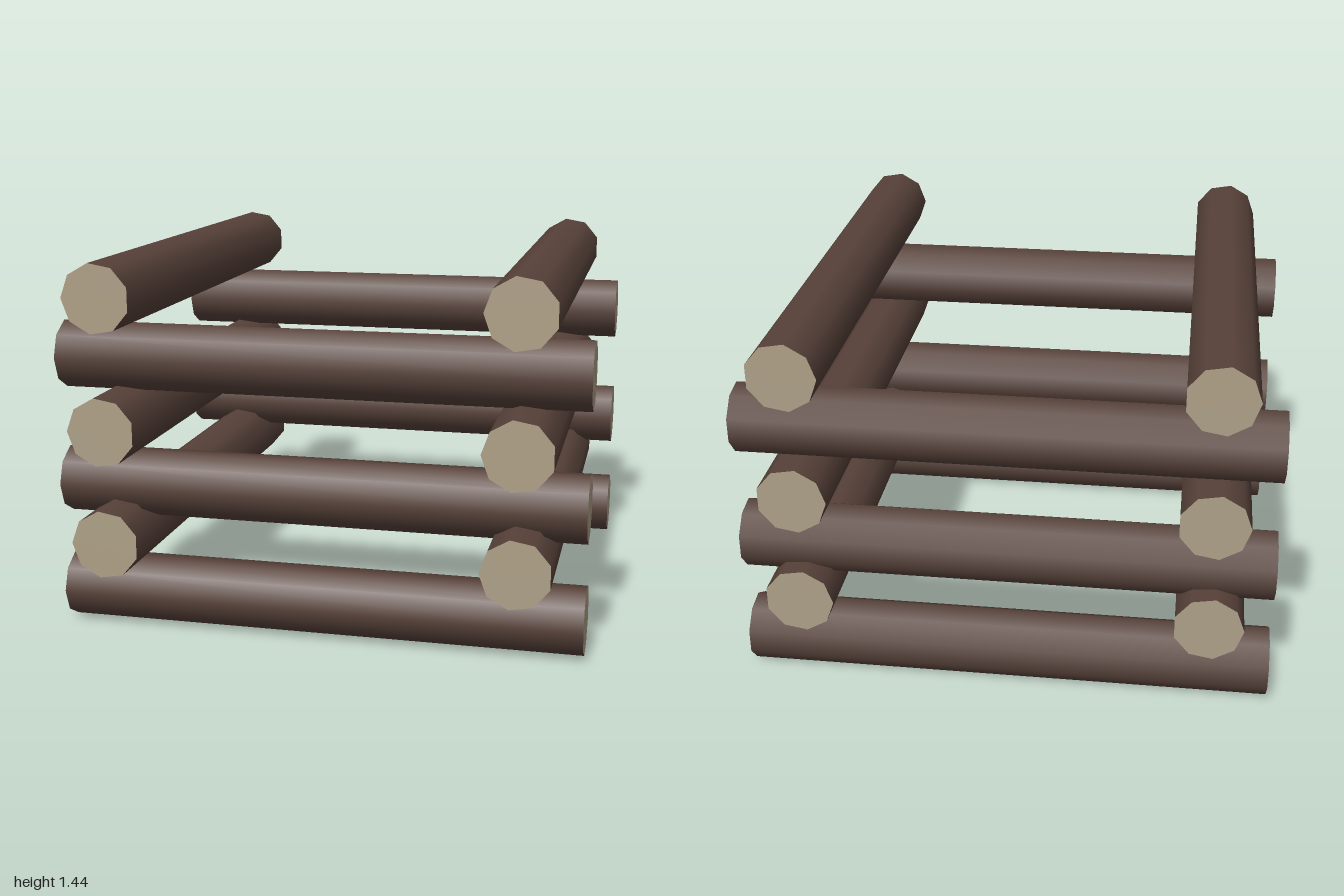
import * as THREE from 'three';

const RADIUS = 0.131;
const LENGTH = 2;
const SIDES = 9;

export function createModel() {
  const group = new THREE.Group();
  group.name = 'logStack';

  const bark = new THREE.MeshStandardMaterial({ color: 0x58423a });
  bark.name = 'bark';
  const cutWood = new THREE.MeshStandardMaterial({ color: 0xaea087 });
  cutWood.name = 'cutWood';

  // One log: bark around the side, pale cut wood on both ends
  const logGeometry = (thetaStart) =>
    new THREE.CylinderGeometry(RADIUS, RADIUS, LENGTH, SIDES, 1, false, thetaStart);
  const crossGeometry = logGeometry(0).rotateZ(Math.PI / 2);
  const depthGeometry = logGeometry(-Math.PI / 2).rotateX(Math.PI / 2);

  const addLog = (name, geometry, x, y, z) => {
    const log = new THREE.Mesh(geometry, [bark, cutWood, cutWood]);
    log.name = name;
    log.position.set(x, y, z);
    group.add(log);
  };

  // Logs running left to right, a front and a back one per layer
  [0.13, 0.561, 1.054].forEach((y, i) => {
    addLog(`frontLog${i + 1}`, crossGeometry, 0, y, 0.725);
    addLog(`backLog${i + 1}`, crossGeometry, 0, y, -0.81);
  });

  // Logs running front to back, resting on the layers between
  [0.383, 0.813, 1.307].forEach((y, i) => {
    addLog(`leftLog${i + 1}`, depthGeometry, 0.766, y, 0);
    addLog(`rightLog${i + 1}`, depthGeometry, -0.764, y, 0);
  });

  return group;
}
